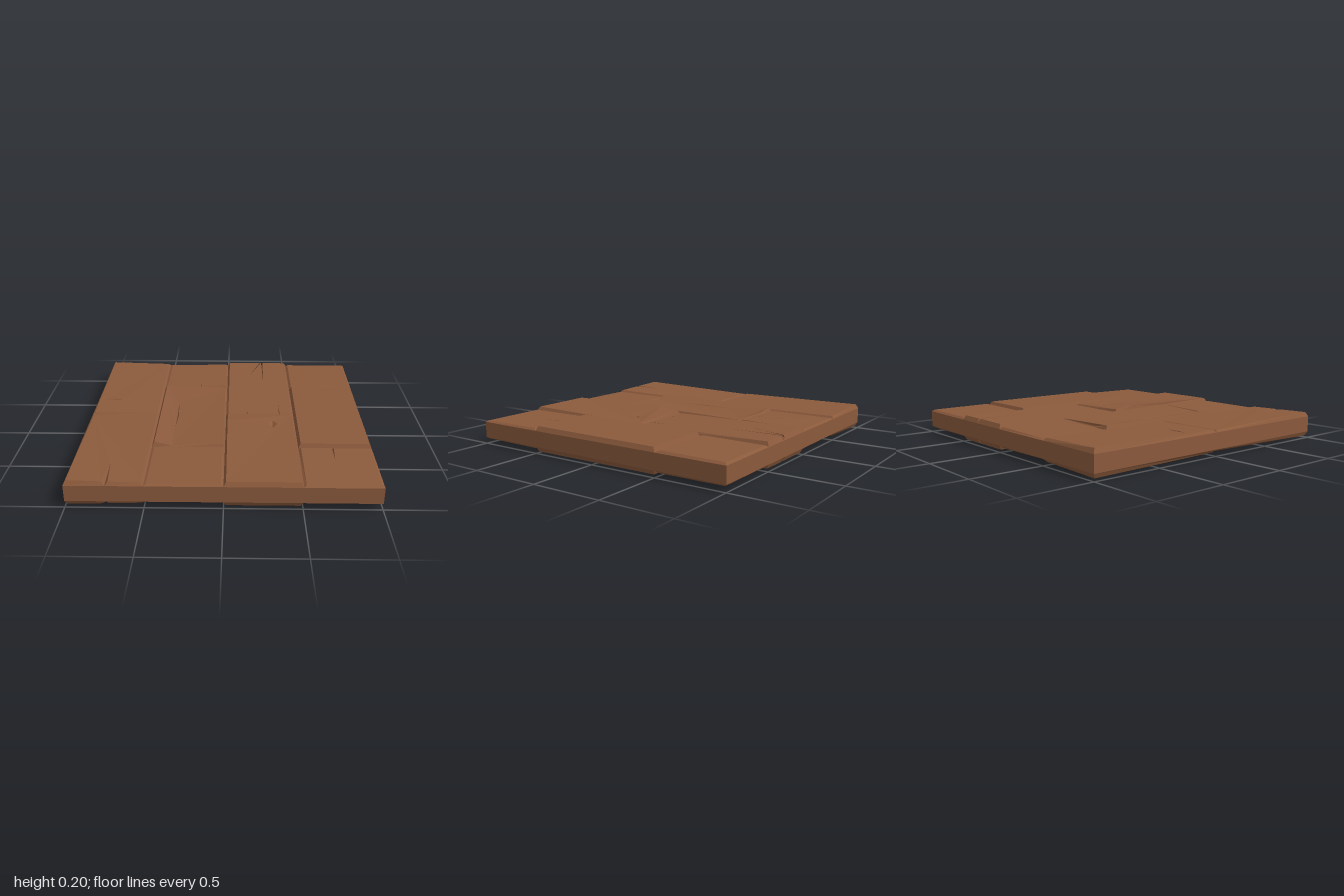
import * as THREE from 'three';

const BASE = 0.157;   // height of the groove bottoms
const SUM = 0.202;    // underside mirrors the top: y -> SUM - y
const INSET = 0.016;  // bevel width around each plank

// x0, x1, z0, z1, corner heights h: backLeft, backRight, frontLeft, frontRight
// back/front/left: extra outline points [x or z, y]
// splits: edge cracks [x, halfWidth, tipX, tipZ]; hole: [x, z, halfX, halfZ, y]
const PLANKS = [
  { r: [-1, -0.5, -1, 0], h: [0.188, 0.175, 0.175, 0.167], hole: [-0.87, -0.235, 0.08, 0.015, 0.177] },
  { r: [-1, -0.5, 0, 1], h: [0.17, 0.167, 0.188, 0.175], frontSplits: [[-0.74, 0.02, -0.74, 0.74]] },
  { r: [-0.5, 0, -1, -0.5], h: [0.165, 0.172, 0.165, 0.18], frontSplits: [[-0.21, 0.004, -0.21, -0.6]] },
  { r: [-0.5, 0, -0.5, 0.5], h: [0.188, 0.175, 0.194, 0.184], creaseX: -0.363, creaseY: 0.168,
    hole: [-0.363, 0.02, 0.012, 0.2, 0.168] },
  { r: [-0.5, 0, 0.5, 1], h: [0.165, 0.178, 0.164, 0.167] },
  { r: [0, 0.5, -1, 0], h: [0.188, 0.188, 0.172, 0.172],
    backSplits: [[0.277, 0.003, 0.18, -0.7], [0.292, 0.008, 0.292, -0.58]],
    frontSplits: [[0.155, 0.004, 0.155, -0.08], [0.395, 0.004, 0.395, -0.16]] },
  { r: [0, 0.5, 0, 1], h: [0.187, 0.176, 0.187, 0.187], left: [[0.17, 0.202], [0.5, 0.178]],
    hole: [0.34, 0.17, 0.035, 0.055, 0.179] },
  { r: [0.5, 1, -1, -0.5], h: [0.17, 0.17, 0.172, 0.172], frontInset: 0.03 },
  { r: [0.5, 1, -0.5, 0.5], h: [0.187, 0.187, 0.189, 0.189] },
  { r: [0.5, 1, 0.5, 1], h: [0.172, 0.172, 0.167, 0.167], backSplits: [[0.73, 0.008, 0.73, 0.67]] },
];

// Collects triangles, all turned to face upward (or downward for the underside)
function plankGeometry(p, under) {
  const pos = [];
  const tri = (a, b, c) => {
    const ny = (b.z - a.z) * (c.x - a.x) - (b.x - a.x) * (c.z - a.z);
    if (Math.abs(ny) < 1e-9) return;
    const order = (ny > 0) !== under ? [a, b, c] : [a, c, b];
    for (const v of order) pos.push(v.x, under ? SUM - v.y : v.y, v.z);
  };

  const [x0, x1, z0, z1] = p.r;
  const [bl, br, fl, fr] = p.h;
  const L = x0 + INSET, R = x1 - INSET, B = z0 + INSET, F = z1 - (p.frontInset || INSET);
  const height = (x, z) => {
    const u = (x - L) / (R - L), v = (z - B) / (F - B);
    return (bl * (1 - u) + br * u) * (1 - v) + (fl * (1 - u) + fr * u) * v;
  };
  const rim = [], foot = [];  // top outline paired with groove points
  const add = (x, z, fx, fz, y = height(x, z)) => {
    rim.push(new THREE.Vector3(x, y, z));
    foot.push(new THREE.Vector3(fx, BASE, fz));
  };
  const split = (x, w, tx, tz, edge, outer, dir) => {
    add(x - w * dir, edge, x, outer);
    add(tx, tz, x, outer);
    add(x + w * dir, edge, x, outer);
  };

  // Walk the outline: back, right, front, left
  add(L, B, x0, z0);
  for (const s of p.backSplits || []) split(...s, B, z0, 1);
  if (p.creaseX) add(p.creaseX, B - 0.002, p.creaseX, z0, p.creaseY);
  add(R, B, x1, z0);
  add(R, F, x1, z1);
  for (const s of [...(p.frontSplits || [])].reverse()) split(...s, F, z1, -1);
  if (p.creaseX) add(p.creaseX, F + 0.002, p.creaseX, z1, p.creaseY);
  add(L, F, x0, z1);
  for (const [z, y] of [...(p.left || [])].reverse()) add(L - 0.003, z, x0, z, y);

  // Bevels and edge cracks
  rim.forEach((a, i) => {
    const j = (i + 1) % rim.length;
    tri(a, rim[j], foot[j]);
    tri(a, foot[j], foot[i]);
  });

  // Diamond-shaped knot or crack sunk into the face
  const hole = [];
  if (p.hole) {
    const [x, z, w, d, y] = p.hole;
    for (const [i, j] of [[-1, 0], [0, 1], [1, 0], [0, -1]]) {
      hole.push(new THREE.Vector3(x + i * w, y, z + j * d));
    }
    const pit = new THREE.Vector3(x, 0.153, z);
    hole.forEach((a, i) => tri(a, hole[(i + 1) % 4], pit));
  }

  // Top face
  const flat = (list) => list.map((v) => new THREE.Vector2(v.x, v.z));
  const all = [...rim, ...hole];
  const faces = THREE.ShapeUtils.triangulateShape(flat(rim), hole.length ? [flat(hole)] : []);
  for (const [a, b, c] of faces) tri(all[a], all[b], all[c]);

  const geo = new THREE.BufferGeometry();
  geo.setAttribute('position', new THREE.Float32BufferAttribute(pos, 3));
  geo.computeVertexNormals();
  return geo;
}

export function createModel() {
  const model = new THREE.Group();
  model.name = 'plankFloorTile';
  const wood = new THREE.MeshStandardMaterial({ color: 0x8b5a3c });
  wood.name = 'brownWood';

  // Planks on both faces
  PLANKS.forEach((p, i) => {
    for (const under of [false, true]) {
      const mesh = new THREE.Mesh(plankGeometry(p, under), wood);
      mesh.name = (under ? 'undersidePlank' : 'topPlank') + (i + 1);
      model.add(mesh);
    }
  });

  // Four outer sides
  for (let i = 0; i < 4; i++) {
    const geo = new THREE.PlaneGeometry(2, 2 * BASE - SUM);
    geo.translate(0, SUM / 2, 1).rotateY((i * Math.PI) / 2);
    const side = new THREE.Mesh(geo, wood);
    side.name = 'tileSide' + (i + 1);
    model.add(side);
  }
  return model;
}
